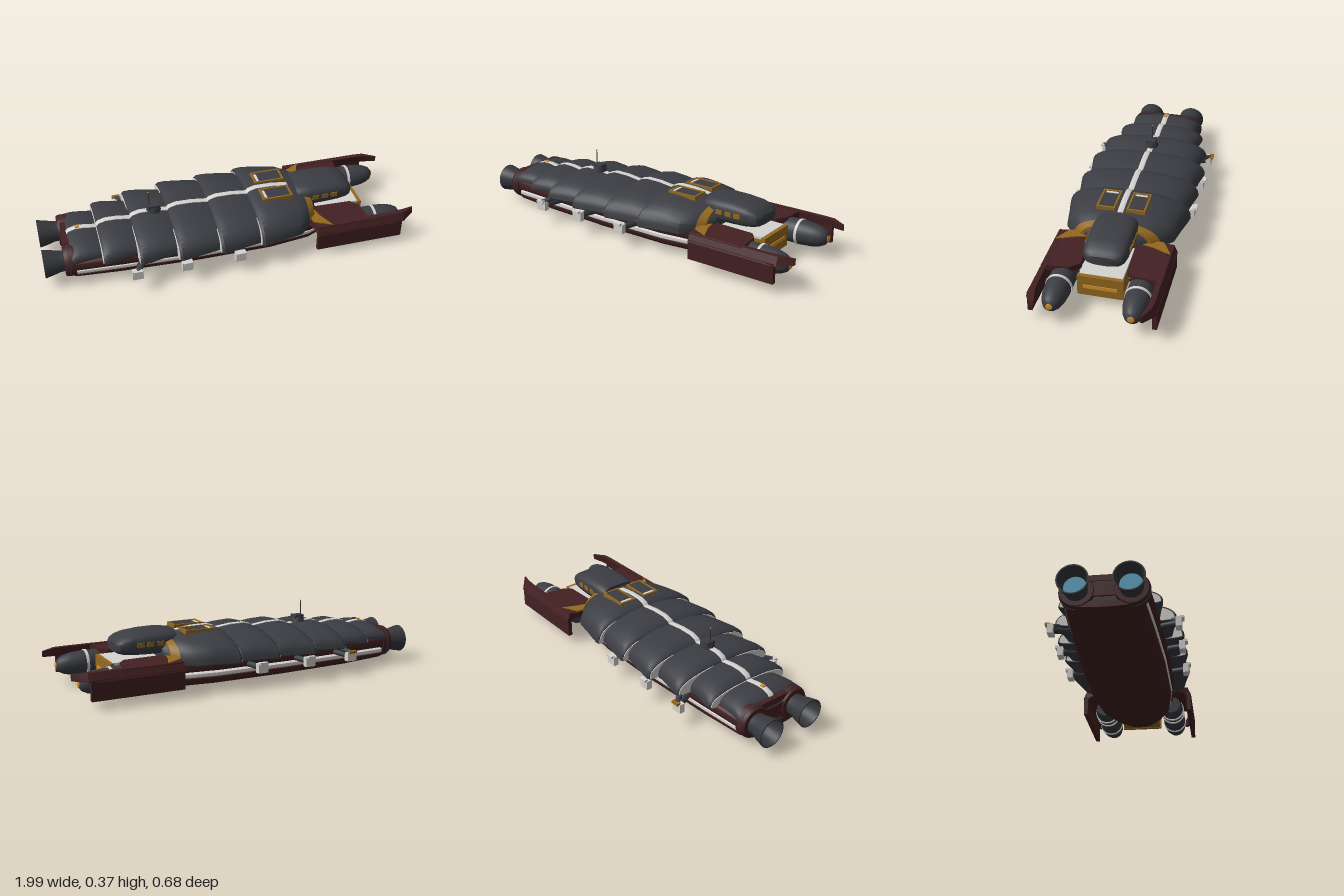
import * as THREE from 'three';
import { toCreasedNormals } from 'three/addons/utils/BufferGeometryUtils.js';

const mat = (name, color, side = THREE.FrontSide) =>
  Object.assign(new THREE.MeshStandardMaterial({ color, side }), { name });

// Superellipse cross-section at x, as [y, z] points
function sec(x, w, y0, up, down, n = 2.5, seg = 40) {
  const ring = [];
  for (let i = 0; i < seg; i++) {
    const t = (i / seg) * Math.PI * 2, c = Math.cos(t), s = Math.sin(t);
    const p = (v) => Math.sign(v) * Math.pow(Math.abs(v), 2 / n);
    ring.push([y0 + p(s) * (s > 0 ? up : down), w * p(c)]);
  }
  return { x, ring };
}

// Skin a row of cross-sections, ordered by rising x, and cap both ends
function loft(sections, crease = 0.6) {
  const n = sections[0].ring.length, pos = [], idx = [];
  sections.forEach(({ x, ring }) => ring.forEach(([y, z]) => pos.push(x, y, z)));
  for (let i = 0; i < sections.length - 1; i++)
    for (let j = 0; j < n; j++) {
      const a = i * n + j, b = i * n + (j + 1) % n;
      idx.push(a, a + n, b, a + n, b + n, b);
    }
  [0, sections.length - 1].forEach((s) => {
    const { x, ring } = sections[s], c = pos.length / 3;
    pos.push(x, ring.reduce((t, p) => t + p[0], 0) / n, ring.reduce((t, p) => t + p[1], 0) / n);
    for (let j = 0; j < n; j++) {
      const a = s * n + j, b = s * n + (j + 1) % n;
      s === 0 ? idx.push(c, a, b) : idx.push(c, b, a);
    }
  });
  const g = new THREE.BufferGeometry();
  g.setAttribute('position', new THREE.Float32BufferAttribute(pos, 3));
  g.setIndex(idx);
  return toCreasedNormals(g, crease);
}

// Flat plate from an [x, z] outline between two heights
function plate(points, y0, y1) {
  const shape = new THREE.Shape(points.map(([x, z]) => new THREE.Vector2(x, -z)));
  return new THREE.ExtrudeGeometry(shape, { depth: y1 - y0, bevelEnabled: false })
    .rotateX(-Math.PI / 2).translate(0, y0, 0);
}

// Turned part along x from [x, radius] points
function turned(points, y, z) {
  const g = new THREE.LatheGeometry(points.map(([x, r]) => new THREE.Vector2(r, x)), 32);
  return toCreasedNormals(g.rotateZ(-Math.PI / 2).translate(0, y, z), 0.6);
}

const box = (x0, x1, y0, y1, z0, z1) =>
  new THREE.BoxGeometry(x1 - x0, y1 - y0, Math.abs(z1 - z0))
    .translate((x0 + x1) / 2, (y0 + y1) / 2, (z0 + z1) / 2);

function rod(a, b, r) {
  const path = new THREE.LineCurve3(new THREE.Vector3(...a), new THREE.Vector3(...b));
  return new THREE.TubeGeometry(path, 1, r, 10);
}

export function createModel() {
  const armour = mat('charcoal armour', 0x3b3d43);
  const maroon = mat('maroon hull', 0x432022);
  const gold = mat('dull gold', 0x94691f);
  const amber = mat('amber light', 0xd0902c);
  const white = mat('off white', 0xd6d4d0);
  const dark = mat('dark metal', 0x35373c, THREE.DoubleSide);
  const blue = mat('engine blue', 0x5aa4c4);

  const ship = new THREE.Group();
  ship.name = 'ship';
  const add = (name, geo, material) => {
    const m = new THREE.Mesh(geo, material);
    m.name = name;
    ship.add(m);
    return m;
  };

  // Hull in three layers: keel, pale band, upper body
  const plan = [[-0.89, 0.16, 0.028], [-0.84, 0.185, 0.042], [-0.6, 0.2, 0.056], [-0.2, 0.218, 0.06],
    [0.2, 0.218, 0.06], [0.42, 0.19, 0.058], [0.55, 0.135, 0.046], [0.64, 0.08, 0.03], [0.69, 0.03, 0.012]];
  add('keel', loft(plan.map(([x, w, d]) => sec(x, w, 0.06, 0.004, d, 2.6))), maroon);
  add('paleBand', loft(plan.slice(1, -1).map(([x, w]) => sec(x, w + 0.006, 0.077, 0.016, 0.018, 5))), white);
  add('upperBody', loft(plan.slice(0, -2).map(([x, w]) => sec(x, w + 0.02, 0.12, 0.04, 0.03, 5))), maroon);

  // Overlapping armour shells: [rear x, front x, rear width, front width, height]
  const shells = [
    [-0.86, -0.70, 0.205, 0.19, 0.222], [-0.70, -0.52, 0.25, 0.22, 0.242],
    [-0.52, -0.32, 0.302, 0.265, 0.258], [-0.32, -0.10, 0.327, 0.29, 0.27],
    [-0.10, 0.12, 0.33, 0.292, 0.28], [0.12, 0.35, 0.327, 0.283, 0.292]];
  shells.forEach(([x0, x1, w0, w1, h], i) => {
    const last = i === shells.length - 1;
    const rows = [[x0, w0 * 0.98, h - 0.024], [x0 + 0.012, w0, h - 0.011], [x0 + 0.05, w0 * 0.98, h],
      [x0 + (x1 - x0) * 0.6, w0 * 0.4 + w1 * 0.6, h - 0.001], [x1, w1, h - 0.012]];
    if (last) rows.push([0.4, 0.235, 0.272], [0.44, 0.19, 0.255], [0.47, 0.14, 0.24]);
    else rows.push([x1 + 0.02, w1 - 0.005, h - 0.02]);
    add('armourShell', loft(rows.map(([x, w, y]) => sec(x, w, 0.15, y - 0.15, 0.02))), armour);
    add('shellRim', loft([x0 - 0.004, x0 + 0.004].map((x) =>
      sec(x, w0 * 0.965, 0.15, h - 0.179, 0.016))), white);
    const top = rows.slice(0, 5);
    add('spine', loft(top.map(([x, , y]) => sec(x, 0.015, y, 0.004, 0.012, 8, 16))), white);
  });
  add('noseBand', loft([[0.415, 0.226, 0.268], [0.45, 0.19, 0.26]].map(([x, w, y]) =>
    sec(x, w, 0.15, y - 0.15, 0.01))), gold);

  // Cockpit
  add('cockpit', loft([[0.38, 0.1, 0.058], [0.4, 0.11, 0.064], [0.46, 0.114, 0.07], [0.54, 0.113, 0.069],
    [0.62, 0.11, 0.061], [0.66, 0.105, 0.049], [0.685, 0.094, 0.034], [0.698, 0.072, 0.018]].map(([x, w, u]) =>
    sec(x, w, 0.235, u, u * 0.5 + 0.021, 3.2))), armour);

  // Bow block and its light bar
  add('bowBlock', box(0.5, 0.73, 0.058, 0.155, -0.108, 0.108), gold);
  add('bowDeck', box(0.48, 0.73, 0.155, 0.168, -0.108, 0.108), white);
  add('bowPlate', box(0.728, 0.75, 0.055, 0.166, -0.115, 0.115), gold);
  add('lightBar', box(0.749, 0.754, 0.098, 0.117, -0.085, 0.085), amber);

  for (const s of [1, -1]) {
    const side = (pts) => pts.map(([a, z]) => [a, s * z]);

    // Cockpit windows
    for (const x of [0.46, 0.515, 0.565])
      add('window', box(x, x + 0.036, 0.232, 0.256, s * 0.108, s * 0.1165), gold);

    // Wing deck with gold wedge, outer rail and side fin
    add('wingDeck', plate(side([[0.41, 0.2], [0.43, 0.3], [0.73, 0.3], [0.715, 0.16], [0.68, 0.118],
      [0.45, 0.11]]), 0.152, 0.182), maroon);
    add('goldWedge', plate(side([[0.42, 0.19], [0.425, 0.245], [0.515, 0.295], [0.475, 0.2], [0.46, 0.13]]),
      0.18, 0.188), gold);
    const rail = [[0.185, 0.27], [0.185, 0.297], [0.14, 0.316], [0.14, 0.28]];
    add('wingRail', loft([[0.43, 0], [0.86, 0], [0.92, -0.004], [0.99, -0.05]].map(([x, dz], i) => {
      let ring = rail.map(([y, z]) => [i === 3 ? 0.165 + (y - 0.165) * 0.7 : y,
        s * ((i === 3 ? 0.31 + (z - 0.31) * 0.3 : z) + dz)]);
      if (s > 0) ring = ring.reverse();
      return { x, ring };
    }), 0.3), maroon);
    add('sideFin', box(0.43, 0.91, 0.047, 0.15, s * 0.29, s * 0.313), maroon);

    // Forward pods
    const z = s * 0.196, y = 0.11;
    add('pod', turned([[0.5, 0], [0.5, 0.05], [0.56, 0.062], [0.8, 0.064], [0.86, 0.059], [0.9, 0.049],
      [0.925, 0.036], [0.938, 0.017], [0.94, 0]], y, z), armour);
    for (const x of [0.58, 0.63, 0.775])
      add('podRing', turned([[x, 0.055], [x, 0.068], [x + 0.014, 0.068], [x + 0.014, 0.055]], y, z), white);
    add('podLamp', turned([[0.93, 0.018], [0.941, 0.017], [0.946, 0]], y, z), amber);

    // Engines
    const ez = s * 0.127, ey = 0.12;
    add('engineCollar', turned([[-0.895, 0], [-0.895, 0.078], [-0.885, 0.084], [-0.84, 0.084], [-0.84, 0]],
      ey, ez), maroon);
    add('engineBand', turned([[-0.873, 0.08], [-0.873, 0.086], [-0.866, 0.086], [-0.866, 0.08]], ey, ez), dark);
    add('engineBell', turned([[-1, 0.069], [-1, 0.075], [-0.96, 0.067], [-0.92, 0.056], [-0.89, 0.054]],
      ey, ez), dark);
    add('engineGlow', turned([[-0.925, 0], [-0.925, 0.054], [-0.915, 0.054]], ey, ez), blue);

    // Roof hatches
    const hatch = (name, x0, x1, z0, z1, y1, m) => add(name, box(x0, x1, 0.276, y1, s * z0, s * z1), m);
    hatch('hatchPanel', 0.185, 0.335, 0.035, 0.12, 0.294, armour);
    hatch('hatchStripe', 0.192, 0.206, 0.045, 0.11, 0.296, white);
    hatch('hatchFrame', 0.178, 0.188, 0.03, 0.127, 0.298, gold);
    hatch('hatchFrame', 0.332, 0.342, 0.03, 0.127, 0.298, gold);
    hatch('hatchFrame', 0.178, 0.342, 0.03, 0.039, 0.298, gold);
    hatch('hatchFrame', 0.178, 0.342, 0.118, 0.127, 0.298, gold);

    // Side thrusters on struts
    for (const x of [-0.545, -0.285, 0]) {
      add('thruster', box(x - 0.028, x + 0.028, 0.08, 0.13, s * 0.298, s * 0.328), white);
      add('thrusterCap', box(x - 0.022, x + 0.022, 0.125, 0.138, s * 0.318, s * 0.34),
        s < 0 && x < -0.5 ? gold : white);
      add('thrusterStrut', rod([x + 0.05, 0.115, s * 0.2], [x, 0.105, s * 0.31], 0.016), dark);
    }
    if (s) add('rearBrace', rod([-0.47, 0.16, s * 0.22], [-0.545, 0.125, s * 0.325], 0.014), armour);
  }

  // Stern wall between the engines
  add('sternWall', box(-0.88, -0.84, 0.06, 0.18, -0.13, 0.13), dark);
  add('sternTrim', box(-0.885, -0.85, 0.17, 0.2, -0.09, 0.09), maroon);
  add('sternLamp', box(-0.81, -0.79, 0.22, 0.232, -0.009, 0.009), amber);

  // Dorsal turret and mast
  add('turretBase', new THREE.CylinderGeometry(0.032, 0.042, 0.03, 8).translate(-0.392, 0.268, 0), dark);
  add('turretHead', box(-0.42, -0.365, 0.27, 0.293, -0.025, 0.025), armour);
  add('mast', rod([-0.413, 0.285, 0], [-0.413, 0.368, 0], 0.0025), dark);
  add('mastLamp', new THREE.SphereGeometry(0.004, 10, 8).translate(-0.413, 0.37, 0), amber);

  return ship;
}
